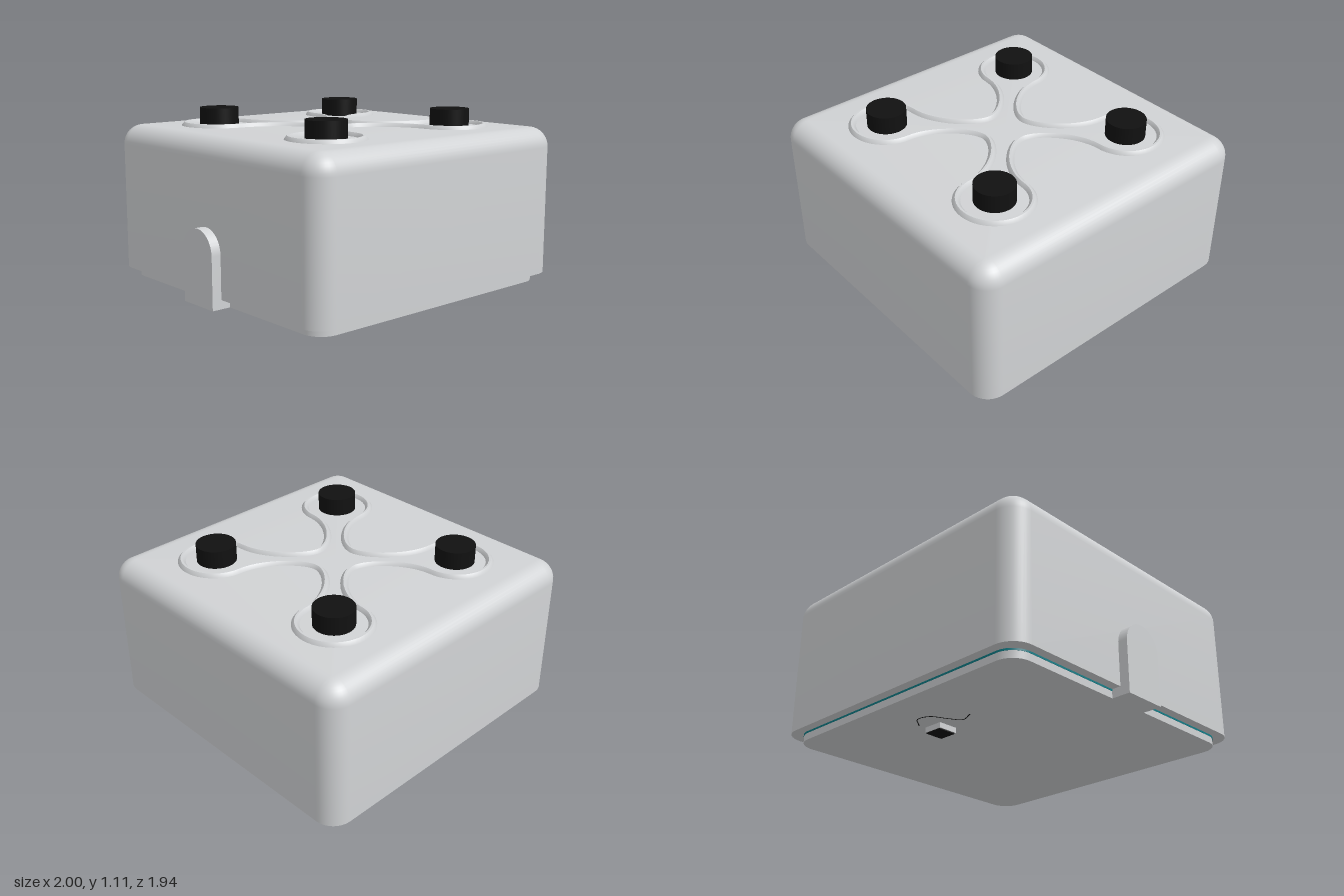
import * as THREE from 'three';
import { toCreasedNormals } from 'three/addons/utils/BufferGeometryUtils.js';

const CX = 0.03; // centre of the housing in x

// Closed strip of rings; closeRows also joins the last ring to the first
function loft(rings, closeRows = false) {
  const n = rings[0].length, m = rings.length, pos = rings.flat(2), idx = [];
  for (let i = 0; i < (closeRows ? m : m - 1); i++) {
    for (let j = 0; j < n; j++) {
      const k = (j + 1) % n, i2 = (i + 1) % m;
      const a = i * n + j, b = i * n + k, c = i2 * n + j, d = i2 * n + k;
      idx.push(a, c, b, b, c, d);
    }
  }
  const g = new THREE.BufferGeometry();
  g.setAttribute('position', new THREE.Float32BufferAttribute(pos, 3));
  g.setIndex(idx);
  return toCreasedNormals(g, 0.6);
}

// Rounded square outline at height y, drawn in by inset
function ring(half, r, inset, y) {
  const pts = [], rr = r - inset;
  for (let q = 0; q < 4; q++) {
    for (let s = 0; s <= 10; s++) {
      const a = (q + s / 10) * Math.PI / 2, c = half - r;
      const sx = q === 0 || q === 3 ? 1 : -1, sz = q < 2 ? 1 : -1;
      pts.push([CX + sx * c + rr * Math.cos(a), y, sz * c + rr * Math.sin(a)]);
    }
  }
  return pts;
}

// Solid rounded slab with an optional fillet around the top edge
function slab(half, r, y0, y1, fillet = 0) {
  const base = ring(half, r, 0, y0);
  const rings = [base.map(() => [CX, y0, 0]), base];
  const steps = fillet ? 10 : 0;
  for (let i = 0; i <= steps; i++) {
    const a = steps ? (i / steps) * Math.PI / 2 : 0;
    rings.push(ring(half, r, fillet * (1 - Math.cos(a)), y1 - fillet + fillet * Math.sin(a)));
  }
  rings.push(base.map(() => [CX, y1, 0]));
  return loft(rings);
}

// Closed four-lobed centreline of the raised rim, built one quarter at a time
function rimPath() {
  const C = 0.505, R = 0.21, e = C - R, w = 0.148, pts = [];
  const V = (x, y) => new THREE.Vector2(x, y);
  const inward = new THREE.CubicBezierCurve(V(w, 0), V(w, 0.1), V(0.32, e - 0.01), V(C, e));
  const outward = new THREE.CubicBezierCurve(V(e, C), V(e - 0.01, 0.32), V(0.1, w), V(0, w));
  const quarter = inward.getPoints(16).slice(0, -1);
  for (let i = 0; i < 36; i++) {
    const a = -Math.PI / 2 + (i / 36) * Math.PI * 1.5;
    quarter.push(V(C + R * Math.cos(a), C + R * Math.sin(a)));
  }
  quarter.push(...outward.getPoints(16).slice(0, -1));
  for (let q = 0; q < 4; q++) {
    for (const p of quarter) pts.push(p.clone().rotateAround(V(0, 0), q * Math.PI / 2));
  }
  return pts;
}

// Sweep a low, sloped profile along the rim path
function rimGeometry() {
  const path = rimPath(), n = path.length;
  const profile = [[0.025, 0.99], [0.023, 1.002], [0.006, 1.022], [-0.006, 1.022], [-0.023, 1.002], [-0.025, 0.99]];
  return loft(profile.map(([off, y]) => path.map((p, i) => {
    const t = path[(i + 1) % n].clone().sub(path[(i + n - 1) % n]).normalize();
    return [CX + p.x + t.y * off, y, p.y - t.x * off];
  })), true);
}

export function createModel() {
  const model = new THREE.Group();
  const material = (name, color) => {
    const m = new THREE.MeshStandardMaterial({ color });
    m.name = name;
    return m;
  };
  const grey = material('light grey', 0xd0d2d4);
  const black = material('black', 0x111111);
  const teal = material('teal', 0x0e7c86);
  const add = (name, geometry, mat, x = 0, y = 0, z = 0) => {
    const mesh = new THREE.Mesh(geometry, mat);
    mesh.name = name;
    mesh.position.set(x, y, z);
    model.add(mesh);
    return mesh;
  };

  // Housing, gasket and base plate
  add('housing', slab(0.97, 0.13, 0.092, 1.0, 0.12), grey);
  add('gasket', slab(0.914, 0.12, 0.081, 0.093), teal);
  add('basePlate', slab(0.912, 0.12, 0.038, 0.082), grey);

  // Raised rim and the four knobs inside its lobes
  add('raisedRim', rimGeometry(), grey);
  for (const sx of [-1, 1]) {
    for (const sz of [-1, 1]) {
      add('knob', new THREE.CylinderGeometry(0.12, 0.12, 0.115, 40), black, CX + sx * 0.505, 1.0525, sz * 0.505);
    }
  }

  // Round-topped side tab
  const tab = new THREE.Shape();
  tab.moveTo(-0.14, 0.038);
  tab.lineTo(0.14, 0.038);
  tab.lineTo(0.14, 0.35);
  tab.absarc(0, 0.35, 0.14, 0, Math.PI);
  tab.closePath();
  const tabGeometry = new THREE.ExtrudeGeometry(tab, { depth: 0.12, bevelEnabled: false, curveSegments: 24 });
  tabGeometry.rotateY(Math.PI / 2);
  add('sideTab', toCreasedNormals(tabGeometry, 0.6), grey, -1.0);

  // Connector under the base with a dark end face
  add('connector', new THREE.BoxGeometry(0.125, 0.036, 0.125), grey, 0.105, 0.024, -0.49);
  add('connectorFace', new THREE.BoxGeometry(0.115, 0.008, 0.115), black, 0.105, 0.004, -0.49);

  // Fine curved lead lying on the underside
  const lead = new THREE.CatmullRomCurve3([
    [0.17, -0.6], [0.1, -0.67], [0.02, -0.65], [-0.03, -0.56], [-0.08, -0.49], [-0.17, -0.52],
  ].map(([x, z]) => new THREE.Vector3(x, 0.038, z)));
  add('lead', new THREE.TubeGeometry(lead, 40, 0.003, 6), black);

  return model;
}
